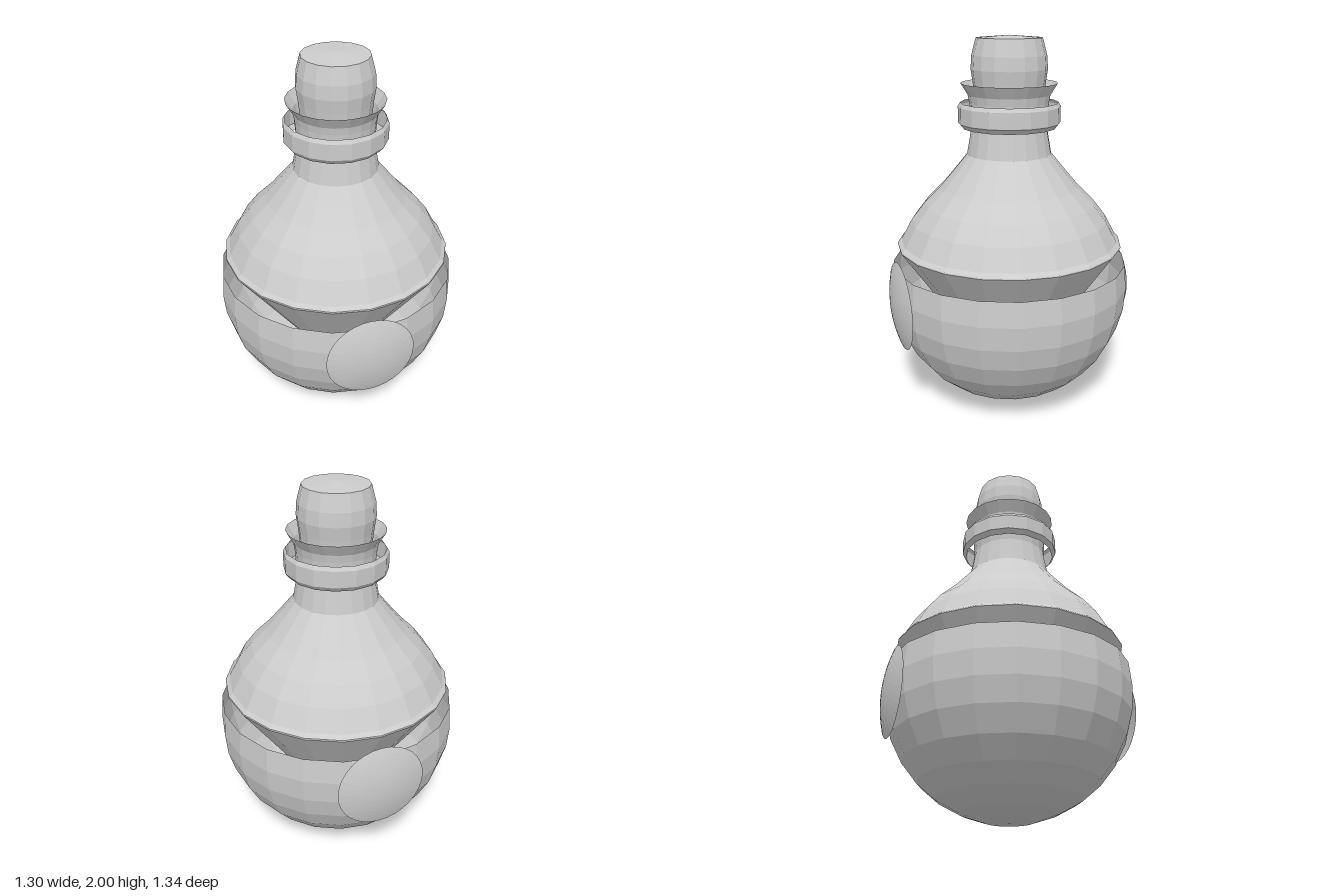
import * as THREE from 'three';

export function createModel() {
  const model = new THREE.Group();
  const grey = new THREE.MeshStandardMaterial({
    color: 0xcccccc, flatShading: true, side: THREE.DoubleSide,
  });
  grey.name = 'grey';

  // Turns a profile of [radius, height] points, listed from bottom to top
  const turn = (name, profile, sides) => {
    const points = profile.map(([r, y]) => new THREE.Vector2(r, y));
    const mesh = new THREE.Mesh(new THREE.LatheGeometry(points, sides), grey);
    mesh.name = name;
    model.add(mesh);
    return mesh;
  };

  // Open round bowl
  turn('lowerBowl', [
    [0, 0.005], [0.13, 0.015], [0.25, 0.055], [0.37, 0.12], [0.465, 0.2], [0.545, 0.3],
    [0.607, 0.42], [0.64, 0.54], [0.65, 0.667], [0.638, 0.8],
  ], 20);

  // Shoulder with a tapering plug below, narrow neck and flared mouth
  turn('upperBody', [
    [0.27, 0.4], [0.612, 0.9], [0.61, 0.907], [0.59, 0.925], [0.53, 1.035], [0.46, 1.125],
    [0.37, 1.215], [0.29, 1.31], [0.225, 1.39], [0.2, 1.53], [0.21, 1.66], [0.217, 1.7], [0.254, 1.76],
  ], 20);

  // Loose hollow collar around the neck
  turn('neckCollar', [[0.25, 1.53], [0.27, 1.555], [0.27, 1.64], [0.258, 1.66]], 16);

  // Stopper with a slightly domed top
  turn('stopper', [
    [0, 1.66], [0.18, 1.66], [0.19, 1.76], [0.2, 1.83], [0.195, 1.9], [0.172, 1.987], [0, 2],
  ], 16);

  // Domed medallions on the front and back
  const dome = [[0.235, 0]];
  for (let i = 1; i <= 8; i++) {
    const r = 0.235 * (1 - i / 8);
    dome.push([r, 0.042 * (1 - (r / 0.235) ** 2)]);
  }
  for (const side of [1, -1]) {
    const medallion = turn(side > 0 ? 'frontMedallion' : 'backMedallion', dome, 32);
    medallion.rotation.x = side * Math.PI / 2;
    medallion.position.set(0, 0.61, side * 0.628);
  }
  return model;
}
